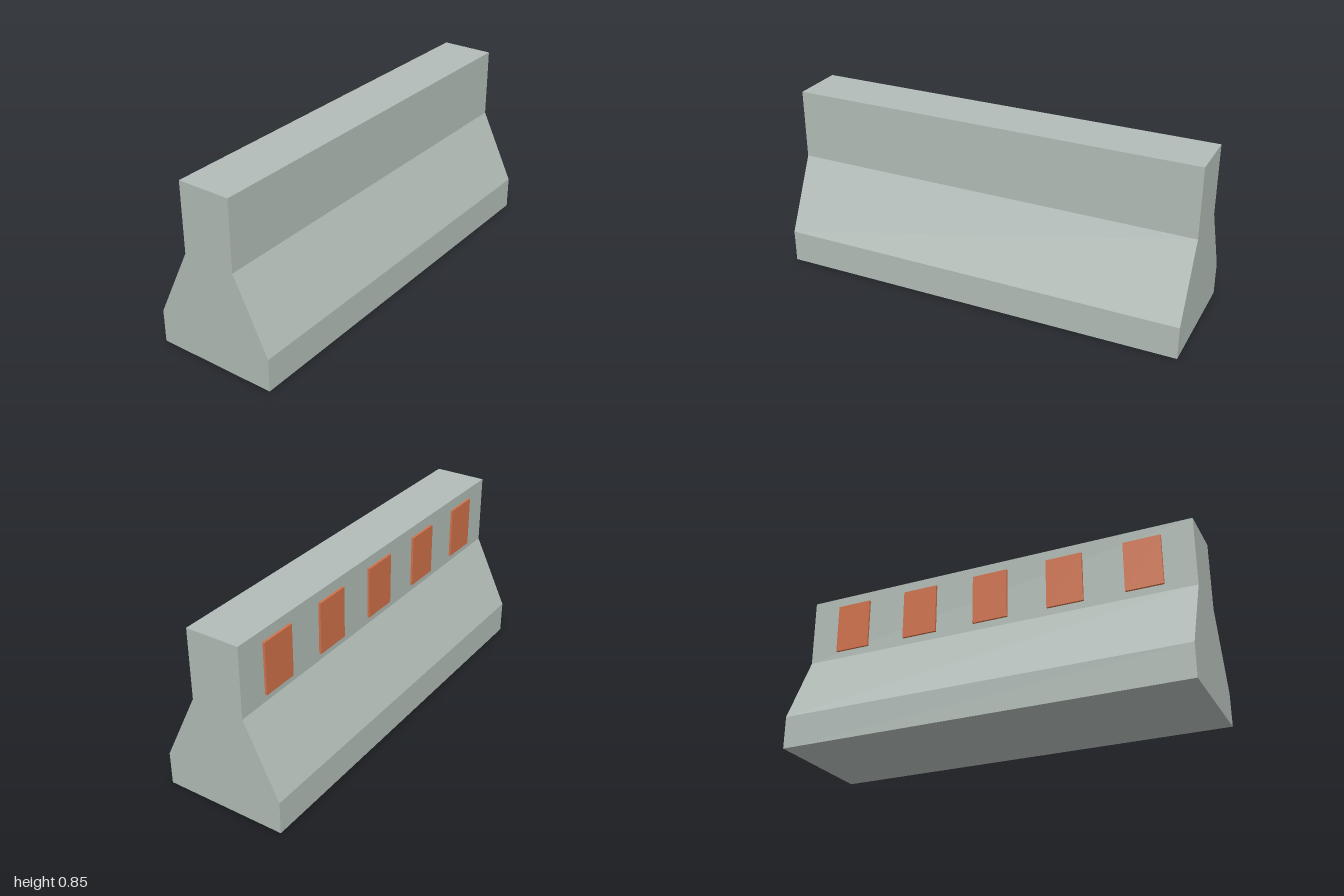
import * as THREE from 'three';

export function createModel() {
  const group = new THREE.Group();
  const concrete = new THREE.MeshStandardMaterial({ color: 0xb2bcb7 });
  const orange = new THREE.MeshStandardMaterial({ color: 0xd0714a });

  // Barrier body: symmetric stepped profile extruded along x
  const half = [[0.3, 0], [0.3, 0.16], [0.13, 0.51], [0.13, 0.85]];
  const outline = [...half, ...half.map(([z, y]) => [-z, y]).reverse()];
  const shape = new THREE.Shape(outline.map(([z, y]) => new THREE.Vector2(z, y)));
  const bodyGeometry = new THREE.ExtrudeGeometry(shape, { depth: 2, bevelEnabled: false });
  bodyGeometry.translate(0, 0, -1).rotateY(Math.PI / 2);
  const body = new THREE.Mesh(bodyGeometry, concrete);
  body.name = 'barrierBody';
  group.add(body);

  // Row of marker plates on the upper back face, sunk slightly into the wall
  const plateGeometry = new THREE.BoxGeometry(0.18, 0.25, 0.022);
  for (let i = 0; i < 5; i++) {
    const plate = new THREE.Mesh(plateGeometry, orange);
    plate.name = `markerPlate${i + 1}`;
    plate.position.set((i - 2) * 0.38, 0.671, -0.13);
    group.add(plate);
  }
  return group;
}
